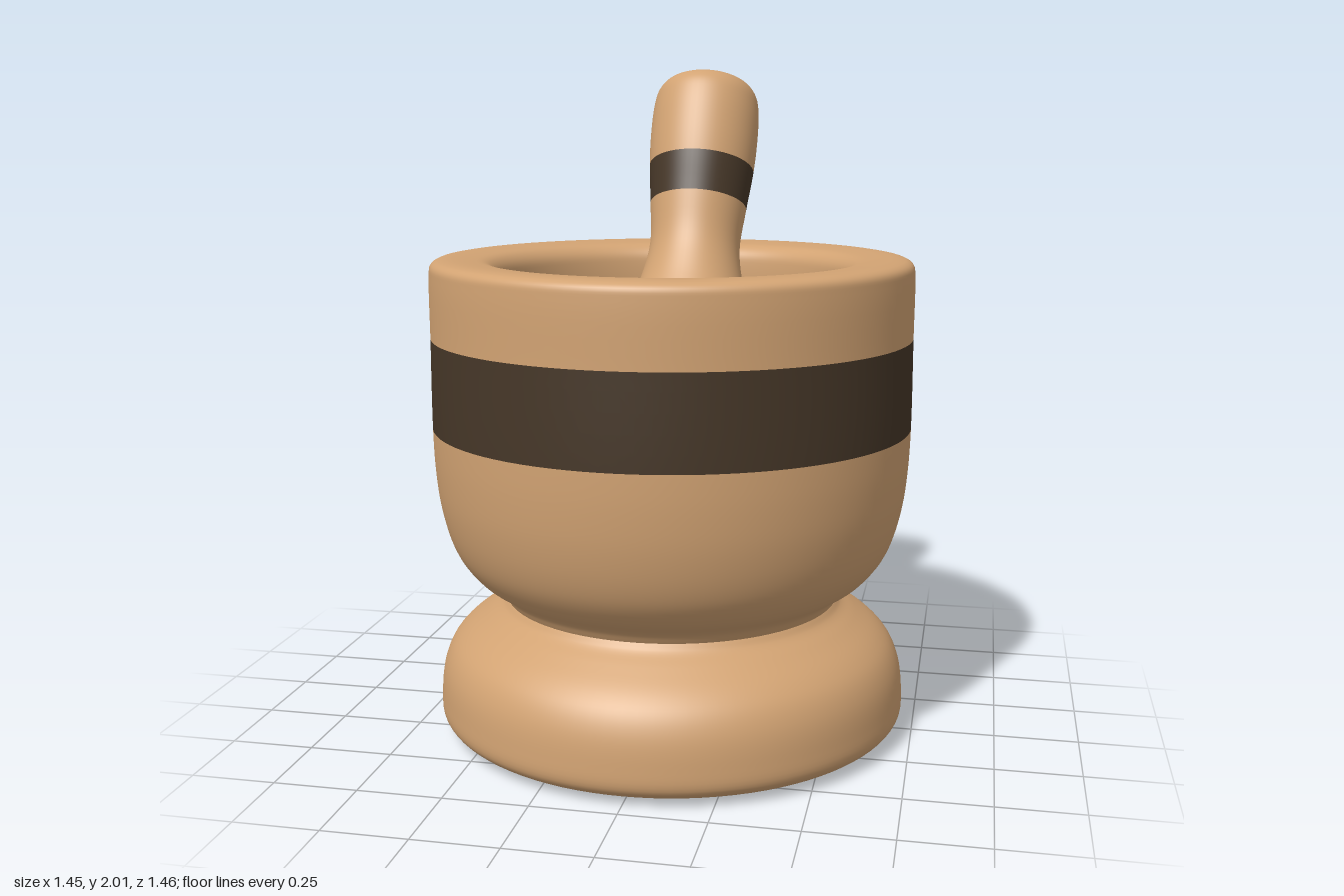
import * as THREE from 'three';

const STEPS = 5; // samples between two profile points
const wood = new THREE.MeshStandardMaterial({ color: 0xd2a373, side: THREE.DoubleSide });
const dark = new THREE.MeshStandardMaterial({ color: 0x463728, side: THREE.DoubleSide });

// Turns a smooth [radius, height] profile, then cuts it at profile points into
// coloured pieces that share normals. pieces: [name, material, firstPoint, lastPoint]
function turn(profile, pieces, segments = 96) {
  const curve = new THREE.CatmullRomCurve3(
    profile.map(([r, y]) => new THREE.Vector3(r, y, 0)), false, 'centripetal');
  const points = curve.getPoints((profile.length - 1) * STEPS)
    .map(p => new THREE.Vector2(Math.max(p.x, 0), p.y));
  const full = new THREE.LatheGeometry(points, segments);
  const index = full.index.array, rows = points.length - 1;
  return pieces.map(([name, material, first, last]) => {
    const kept = [];
    for (let s = 0; s < segments; s++) {
      const start = (s * rows + first * STEPS) * 6;
      const end = (s * rows + last * STEPS) * 6;
      for (let i = start; i < end; i++) kept.push(index[i]);
    }
    const geometry = full.clone();
    geometry.setIndex(kept);
    const mesh = new THREE.Mesh(geometry, material);
    mesh.name = name;
    return mesh;
  });
}

export function createModel() {
  const model = new THREE.Group();
  model.name = 'mortarAndPestle';

  // Mortar: foot, banded bowl and flat floor, with creases between them
  const mortar = new THREE.Group();
  mortar.name = 'mortar';
  mortar.position.z = 0.008;
  const foot = [
    [0, 0], [0.4, 0], [0.62, 0.01], [0.685, 0.025], [0.712, 0.055], [0.715, 0.12],
    [0.705, 0.2], [0.68, 0.26], [0.64, 0.305], [0.57, 0.355], [0.525, 0.385], [0.51, 0.405],
  ];
  const bowl = [
    // outside, going up
    [0.51, 0.405], [0.53, 0.435], [0.6, 0.485], [0.65, 0.545], [0.68, 0.61], [0.705, 0.71],
    [0.718, 0.82], [0.723, 0.94], [0.723, 1.21], [0.723, 1.39], [0.718, 1.425], [0.695, 1.44],
    // rim and inside, going down
    [0.6, 1.44], [0.55, 1.43], [0.525, 1.405], [0.517, 1.36], [0.517, 1.21], [0.515, 0.94],
    [0.5, 0.83], [0.46, 0.72], [0.4, 0.635], [0.32, 0.58],
  ];
  mortar.add(
    ...turn(foot, [['foot', wood, 0, 11]]),
    ...turn(bowl, [
      ['bowlLower', wood, 0, 7], ['outerBand', dark, 7, 8], ['rim', wood, 8, 16],
      ['innerBand', dark, 16, 17], ['bowlInside', wood, 17, 21],
    ]),
    ...turn([[0.32, 0.58], [0, 0.58]], [['bowlFloor', wood, 0, 1]]),
  );
  model.add(mortar);

  // Pestle: turned along its own axis, leaning to the back
  const pestle = new THREE.Group();
  pestle.name = 'pestle';
  const shaft = [
    [0, -1.19], [0.08, -1.178], [0.16, -1.13], [0.215, -1.05], [0.242, -0.95], [0.25, -0.85],
    [0.246, -0.755], [0.21, -0.54], [0.165, -0.39], [0.145, -0.27], [0.156, -0.13],
    [0.17, 0], [0.175, 0.1], [0.173, 0.2], [0.163, 0.255], [0.14, 0.287], [0.1, 0.305], [0, 0.317],
  ];
  pestle.add(...turn(shaft, [
    ['pestleHead', wood, 0, 6], ['headBand', dark, 6, 7], ['pestleNeck', wood, 7, 10],
    ['gripBand', dark, 10, 11], ['pestleGrip', wood, 11, 17],
  ], 64));
  pestle.position.set(0, 1.683, -0.475);
  pestle.rotation.x = -THREE.MathUtils.degToRad(25);
  model.add(pestle);

  return model;
}
